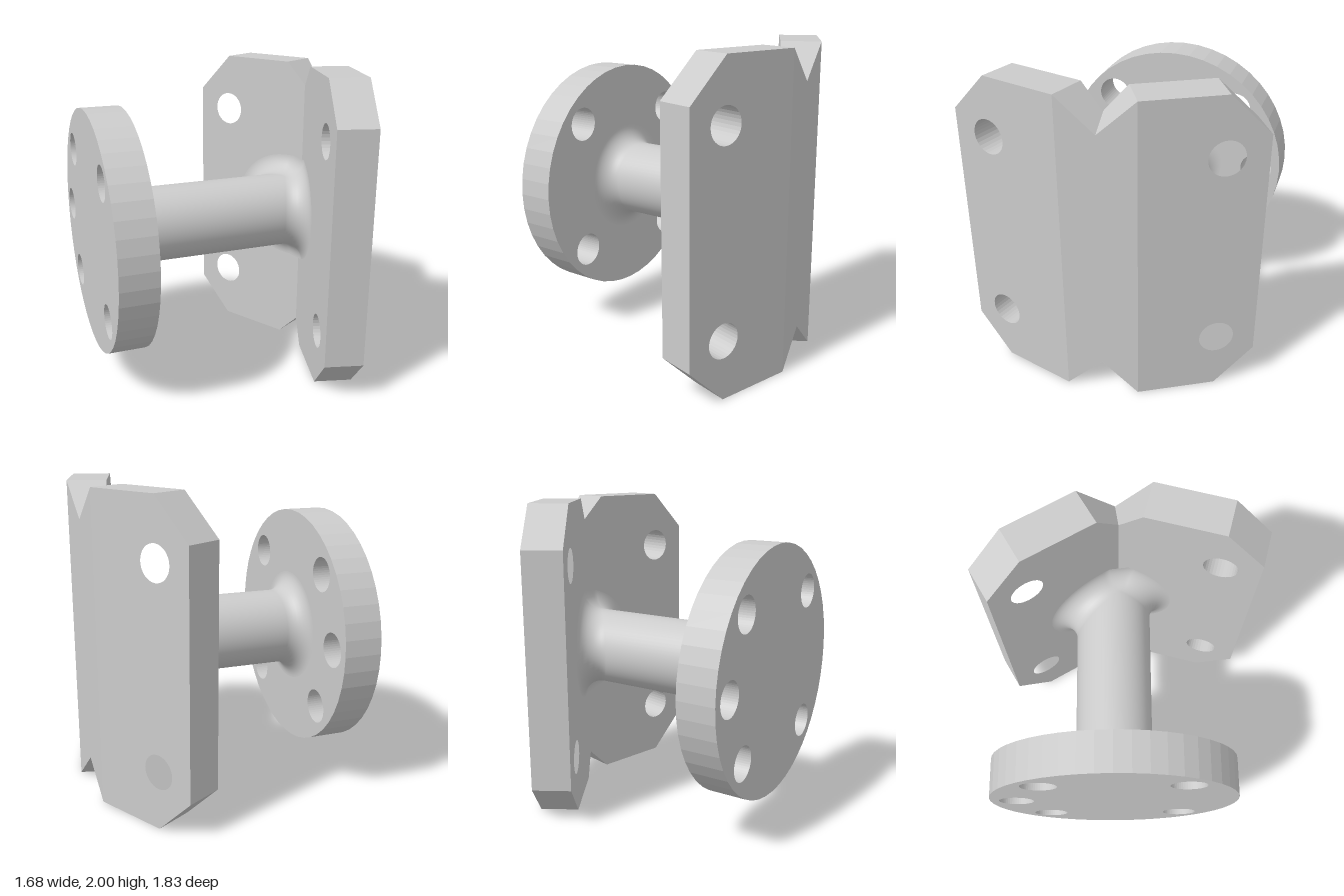
import * as THREE from 'three';
import { mergeVertices } from 'three/addons/utils/BufferGeometryUtils.js';
import { ConvexGeometry } from 'three/addons/geometries/ConvexGeometry.js';
import { ParametricGeometry } from 'three/addons/geometries/ParametricGeometry.js';

const grey = new THREE.MeshStandardMaterial({ color: 0xcccccc });
const AXIS = new THREE.Vector3(0, 1, -0.055); // shaft centre line runs along x
const DISC_BACK = -0.84, DISC_FACE = -0.597;
const THICK = 0.247, WIDTH = 0.75, CUT = 0.25, HOLE = 0.11;

const V = (x, y, z) => new THREE.Vector3(x, y, z);

// Fold of the bent plate, seen from above: inner and outer apex
const innerApex = V(0.639, 0, -0.018), outerApex = V(0.81, 0, -0.038);
// Each wing: outer fold point, direction along +u, and which way it extends
const wings = [
  { name: 'frontWing', fold: V(0.8386, 0, 0.1896), angle: 15, side: 1 },
  { name: 'backWing', fold: V(0.781, 0, -0.2655), angle: -30, side: -1 },
];
for (const w of wings) {
  const a = THREE.MathUtils.degToRad(w.angle);
  w.along = V(-Math.sin(a), 0, Math.cos(a));
  w.inward = V(-Math.cos(a), 0, -Math.sin(a));
}

function mesh(geometry, name) {
  const m = new THREE.Mesh(geometry, grey);
  m.name = name;
  return m;
}

function addHole(shape, x, y) {
  shape.holes.push(new THREE.Path().absarc(x, y, HOLE, 0, Math.PI * 2, true));
}

// Round flange with five bolt holes
function flangeDisc() {
  const shape = new THREE.Shape().absarc(0, 0, 0.785, 0, Math.PI * 2, false);
  for (const deg of [0, 45, 135, 225, 315]) {
    const a = THREE.MathUtils.degToRad(deg);
    addHole(shape, 0.62 * Math.cos(a), 0.62 * Math.sin(a));
  }
  const g = new THREE.ExtrudeGeometry(shape, { depth: DISC_FACE - DISC_BACK, bevelEnabled: false, curveSegments: 24 });
  g.rotateY(Math.PI / 2);
  g.translate(DISC_BACK, AXIS.y, AXIS.z);
  return mesh(g, 'flangeDisc');
}

// Shaft with a rolling-ball fillet at the disc and at the two wings
function shaft() {
  const R = 0.247, r = 0.12, STEPS = 10, ROWS = 2 * STEPS + 1;
  const discNormal = V(1, 0, 0);
  const ballX = (n, z, onPlane) => onPlane.x + (r - n.z * (z - onPlane.z)) / n.x;
  const place = (u, v, target) => {
    const a = -u * Math.PI * 2, row = Math.round(v * ROWS);
    const e = V(0, Math.sin(a), Math.cos(a));
    const c = e.clone().multiplyScalar(R + r).add(AXIS);
    let n = discNormal, t = row / STEPS; // t: 0 on the flat face, 1 on the shaft
    c.x = DISC_FACE + r;
    if (row > STEPS) {
      t = (ROWS - row) / STEPS;
      c.x = Infinity;
      for (const w of wings) {
        const x = ballX(w.inward, c.z, innerApex);
        if (x < c.x) { c.x = x; n = w.inward; }
      }
    }
    target.copy(n).lerp(e, t).normalize().multiplyScalar(-r).add(c);
  };
  let g = new ParametricGeometry(place, 64, ROWS);
  g.deleteAttribute('uv');
  g.deleteAttribute('normal');
  g = mergeVertices(g, 1e-4);
  g.computeVertexNormals();
  return mesh(g, 'shaft');
}

// Flat part of a wing: cut outer corners and two bolt holes
function wingPlate(w) {
  const s = w.side;
  const shape = new THREE.Shape([
    [0, 0], [WIDTH - CUT, 0], [WIDTH, CUT], [WIDTH, 2 - CUT], [WIDTH - CUT, 2], [0, 2],
  ].map(([u, y]) => new THREE.Vector2(s * u, y)));
  for (const y of [0.375, 1.625]) addHole(shape, s * (WIDTH - 0.25), y);
  const g = new THREE.ExtrudeGeometry(shape, { depth: THICK, bevelEnabled: false, curveSegments: 16 });
  g.applyMatrix4(new THREE.Matrix4().makeBasis(w.along, V(0, 1, 0), w.inward).setPosition(w.fold));
  return mesh(g, 'plate');
}

// Part of a wing between its flat plate and the fold, sloped to form the notch
function foldWedge(w) {
  const innerFold = w.fold.clone().addScaledVector(w.inward, THICK);
  const points = [];
  for (const p of [w.fold, innerFold, innerApex, outerApex]) {
    const drop = Math.max(0, -w.side * p.clone().sub(w.fold).dot(w.along));
    points.push(V(p.x, drop, p.z), V(p.x, 2 - drop, p.z));
  }
  return mesh(new ConvexGeometry(points), 'foldWedge');
}

export function createModel() {
  const model = new THREE.Group();
  model.name = 'flangedBracket';
  model.add(flangeDisc(), shaft());
  for (const w of wings) {
    const wing = new THREE.Group();
    wing.name = w.name;
    wing.add(wingPlate(w), foldWedge(w));
    model.add(wing);
  }
  return model;
}
